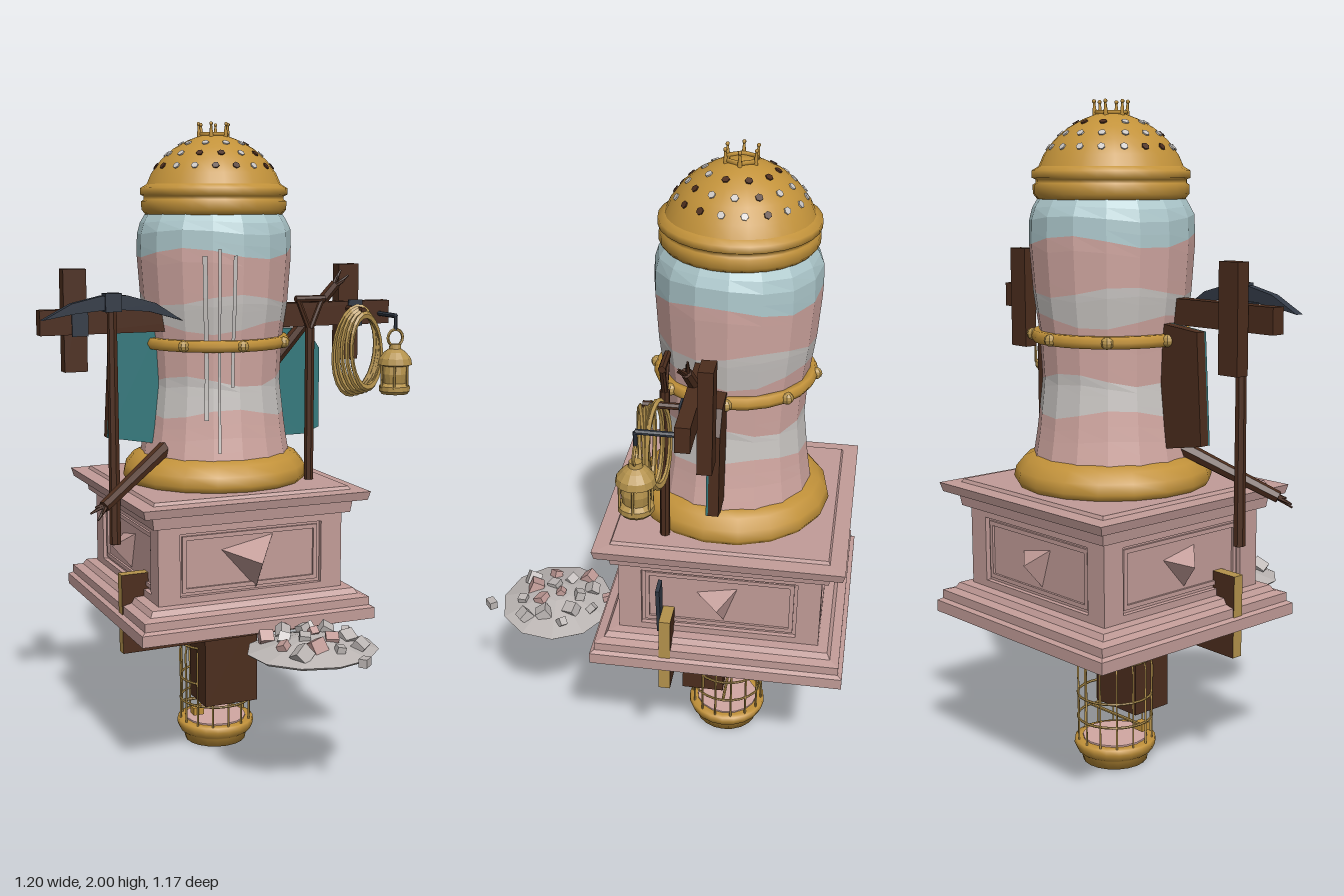
import * as THREE from 'three';

const mat = (name, color, extra = {}) => Object.assign(new THREE.MeshStandardMaterial({ color, flatShading: true, ...extra }), { name });

export function createModel() {
  const model = new THREE.Group();
  const stone = mat('pink stone', 0xc29c98), jarPink = mat('jar pink', 0xd2a8a2), pale = mat('pale stripe', 0xc9c5c2);
  const blue = mat('pale blue', 0xadc8cc), gold = mat('gold', 0xc2923a, { flatShading: false }), brass = mat('brass', 0xb4924c);
  const wood = mat('dark wood', 0x4c2d1d), iron = mat('iron', 0x323a46), teal = mat('teal', 0x34797d), rubble = mat('rubble grey', 0xbcb6b4);

  // Everything turned around the tower axis lives in this group
  const tower = new THREE.Group();
  tower.name = 'tower';
  tower.position.z = -0.2;
  model.add(tower);

  let seed = 7;
  const rnd = () => (seed = (seed * 16807) % 2147483647) / 2147483647;
  const V = (x, y, z) => new THREE.Vector3(x, y, z);
  const add = (name, geo, material, x = 0, y = 0, z = 0, parent = model) => {
    const m = new THREE.Mesh(geo, material);
    m.name = name;
    m.position.set(x, y, z);
    parent.add(m);
    return m;
  };
  const box = (name, material, w, h, d, x, y, z, parent) => add(name, new THREE.BoxGeometry(w, h, d), material, x, y, z, parent);
  const rod = (name, material, a, b, r, r2 = r, parent = model, sides = 7) => {
    const dir = b.clone().sub(a);
    const m = add(name, new THREE.CylinderGeometry(r2, r, dir.length(), sides), material, 0, 0, 0, parent);
    m.position.copy(a).add(b).multiplyScalar(0.5);
    m.quaternion.setFromUnitVectors(V(0, 1, 0), dir.normalize());
    return m;
  };
  const lathe = (name, material, pts, sides, x = 0, z = 0, parent = tower) =>
    add(name, new THREE.LatheGeometry(pts.map(p => new THREE.Vector2(...p)), sides), material, x, 0, z, parent);
  const ring = (name, material, r, tube, y, parent = tower, sides = 24, x = 0, z = 0) => {
    const m = add(name, new THREE.TorusGeometry(r, tube, 6, sides), material, x, y, z, parent);
    m.rotation.x = Math.PI / 2;
    return m;
  };
  const slab = (name, material, pts, depth, z, hole) => {
    const s = new THREE.Shape(pts.map(p => new THREE.Vector2(...p)));
    if (hole) s.holes.push(new THREE.Path(hole.map(p => new THREE.Vector2(...p))));
    return add(name, new THREE.ExtrudeGeometry(s, { depth, bevelEnabled: false }), material, 0, 0, z);
  };
  const rect = (w, y0, y1) => [[-w, y0], [w, y0], [w, y1], [-w, y1]];

  // Square moulded pedestal: half widths become corner radii of a four sided lathe
  const steps = [[0, .47], [.385, .47], [.385, .505], [.372, .512], [.372, .538], [.345, .545], [.335, .562], [.29, .565],
    [.29, .80], [.325, .805], [.33, .84], [.365, .848], [.372, .875], [.325, .877], [.32, .887], [0, .887]];
  lathe('pedestal', stone, steps.map(([r, y]) => [r * Math.SQRT2, y]), 4).rotation.y = Math.PI / 4;
  for (let i = 0; i < 4; i++) {
    const side = new THREE.Group();
    side.name = 'pedestalSide';
    side.rotation.y = i * Math.PI / 2;
    tower.add(side);
    side.add(slab('panelFrame', stone, rect(.305, .56, .805), .015, .29, rect(.235, .585, .78)));
    side.add(slab('panelMoulding', stone, rect(.225, .595, .77), .007, .29, rect(.212, .608, .757)));
    const r = i === 0 ? .1 : .072, depth = [.095, .06, .055, .06][i];
    const stud = add('stoneStud', new THREE.ConeGeometry(r, depth, 3).rotateX(Math.PI / 2), stone, 0, .685, .29 + depth / 2, side);
    stud.rotation.z = .2;
  }

  // Striped jar, each band a strip between wavy edges that follows the jar outline
  const outline = [[.96, .24], [1.05, .225], [1.2, .208], [1.33, .215], [1.45, .232], [1.6, .243], [1.68, .24], [1.73, .21]];
  const radius = y => {
    let k = 0;
    while (k < outline.length - 2 && y > outline[k + 1][0]) k++;
    const [[ya, ra], [yb, rb]] = [outline[k], outline[k + 1]];
    return ra + (rb - ra) * (y - ya) / (yb - ya);
  };
  const strip = (name, material, low, high, a0, a1, cols, rows, lift = 0) => {
    const pos = [], idx = [];
    for (let i = 0; i <= cols; i++) for (let j = 0; j <= rows; j++) {
      const a = a0 + (a1 - a0) * i / cols, y = low(i) + (high(i) - low(i)) * j / rows, r = radius(y) + lift;
      pos.push(r * Math.sin(a), y, r * Math.cos(a));
      if (i < cols && j < rows) {
        const p = i * (rows + 1) + j, q = p + rows + 1;
        idx.push(p, q, p + 1, q + 1, p + 1, q);
      }
    }
    const g = new THREE.BufferGeometry();
    g.setAttribute('position', new THREE.Float32BufferAttribute(pos, 3));
    g.setIndex(idx);
    g.computeVertexNormals();
    add(name, g, material, 0, 0, 0, tower);
  };
  const edges = [.96, 1.115, 1.215, 1.38, 1.465, 1.605, 1.73];
  const edge = k => i => edges[k] + (k % 6 ? .018 * Math.sin((i % 16) * Math.PI * 3 / 8 + k * 2) : 0);
  [jarPink, pale, jarPink, pale, jarPink, blue].forEach((m, k) => strip('jarBand', m, edge(k), edge(k + 1), 0, Math.PI * 2, 16, 4));
  [[-.52, 1.1, 1.6, .06], [-.33, 1.0, 1.62, .04], [-.14, 1.2, 1.6, .05]].forEach(([a, y0, y1, w]) =>
    strip('paintDrip', pale, () => y0, () => y1, a, a + w, 1, 8, .003));

  // Gold foot, studded belt and perforated dome
  lathe('jarFoot', gold, [[.2, .885], [.285, .885], [.297, .905], [.29, .935], [.265, .965], [.235, .978], [.2, .978]], 18);
  ring('jarBelt', gold, .222, .02, 1.327);
  for (let i = 0; i < 8; i++) {
    const a = i * Math.PI / 4;
    add('beltStud', new THREE.SphereGeometry(.018, 8, 6), brass, .236 * Math.sin(a), 1.327, .236 * Math.cos(a), tower);
  }
  lathe('domeRim', gold, [[.18, 1.72], [.215, 1.72], [.227, 1.735], [.227, 1.76], [.219, 1.765], [.219, 1.775], [.23, 1.78], [.23, 1.8], [.21, 1.812]], 28);
  lathe('dome', gold, [[.215, 1.80], [.195, 1.845], [.165, 1.885], [.125, 1.92], [.08, 1.945], [.04, 1.96], [0, 1.965]], 28);
  [[.18, 1.865, .8, .6, 18], [.145, 1.9025, .66, .75, 14], [.1, 1.934, .485, .874, 10]].forEach(([r, y, nr, ny, n], k) => {
    for (let i = 0; i < n; i++) {
      const a = (i + k / 2) * 2 * Math.PI / n, s = Math.sin(a), c = Math.cos(a), p = V(r * s, y, r * c), d = V(nr * s, ny, nr * c);
      rod('domeHole', rnd() < .5 ? wood : pale, p, p.clone().addScaledVector(d, .004), .011, .011, tower, 6);
    }
  });
  ring('crownBand', gold, .045, .007, 1.963, tower, 6);
  for (let i = 0; i < 6; i++) {
    const a = i * Math.PI / 3, x = .047 * Math.cos(a), z = .047 * Math.sin(a);
    rod('crownPoint', gold, V(x, 1.955, z), V(x * 1.05, 1.993, z * 1.05), .007, .003, tower);
    add('crownBead', new THREE.SphereGeometry(.006, 6, 5), gold, x * 1.05, 1.994, z * 1.05, tower);
  }

  // Birdcage underneath
  lathe('cageBase', gold, [[0, 0], [.1, 0], [.105, .025], [.118, .035], [.127, .055], [.125, .07], [.11, .072], [0, .072]], 20);
  add('cageFloor', new THREE.CylinderGeometry(.1, .1, .006, 16), jarPink, 0, .074, 0, tower);
  for (let i = 0; i < 14; i++) {
    const a = i * Math.PI / 7, s = Math.sin(a), c = Math.cos(a);
    const path = [[.115, .07], [.115, .22], [.113, .33], [.085, .38], [.045, .41], [0, .42]].map(([r, y]) => V(r * s, y, r * c));
    add('cageBar', new THREE.TubeGeometry(new THREE.CatmullRomCurve3(path), 14, .0035, 4), brass, 0, 0, 0, tower);
  }
  [.14, .215, .335].forEach(y => ring('cageHoop', brass, .115, .004, y));
  box('cageCup', gold, .035, .025, .03, -.08, .115, .04, tower);
  rod('cagePerch', brass, V(-.11, .14, 0), V(.11, .14, 0), .005, .005, tower);

  // Timber post and wide board crossing the pedestal
  box('lowerPost', wood, .18, .31, .135, 0, .315, -.128);
  add('lowerBoard', new THREE.BoxGeometry(.75, .25, .035), [brass, brass, brass, wood, wood, wood], 0, .515, -.047).rotation.z = .012;
  slab('ironBlade', iron, [[.3, .57], [.335, .58], [.365, .75], [.31, .755]], .012, -.03);
  const patch = add('plasterPatch', new THREE.CylinderGeometry(.1, .075, .03, 9), rubble, .02, .456, -.3);
  patch.scale.z = .85;

  // Upper crossbeam, short uprights and teal-faced board
  box('crossbeam', wood, 1.17, .075, .042, -.005, 1.405, -.13);
  for (const x of [-.468, .455]) {
    box('beamUpright', wood, .072, .31, .042, x, 1.405, -.176);
    box('ironStrap', iron, .05, .085, .006, x, 1.405, -.107);
  }
  const sign = [[-.37, 1.04], [-.2, 1.01], [.3, 1.01], [.355, 1.03], [.355, 1.29], [.31, 1.355], [-.2, 1.375], [-.352, 1.36]];
  slab('signBoard', wood, sign, .03, -.2);
  slab('signFace', teal, sign, .006, -.17);

  // Pickaxe and shovel
  rod('pickHandle', wood, V(-.385, .73, -.055), V(-.385, 1.49, -.055), .018, .015);
  slab('pickHead', iron, [[-.6, 1.418], [-.5, 1.435], [-.385, 1.445], [-.27, 1.435], [-.165, 1.405], [-.25, 1.46], [-.34, 1.485],
    [-.42, 1.485], [-.51, 1.465]], .025, -.068);
  add('pickCollar', new THREE.BoxGeometry(.05, .055, .04), iron, -.385, 1.465, -.055);
  rod('shovelHandle', wood, V(.255, .885, -.03), V(.255, 1.37, -.03), .015);
  for (const s of [-1, 1]) rod('shovelGripArm', wood, V(.255, 1.36, -.03), V(.255 + s * .042, 1.46, -.03), .009);
  rod('shovelGrip', wood, V(.205, 1.46, -.03), V(.305, 1.46, -.03), .011);

  // Broken branches ending in twigs
  const branch = (a, b, r) => {
    rod('branch', wood, a, b, r, r * .75);
    const d = b.clone().sub(a).normalize();
    for (let i = 0; i < 4; i++) {
      const off = V(Math.cos(i * 1.57), Math.sin(i * 1.57), Math.cos(i * 1.57 + 1)).multiplyScalar(.016);
      rod('twig', wood, b.clone().addScaledVector(d, -.02), b.clone().addScaledVector(d, .035).add(off), .009, .003, model, 5);
    }
  };
  branch(V(-.19, 1.01, -.12), V(-.45, .87, .04), .024);
  branch(V(.2, 1.26, -.17), V(.385, 1.5, -.11), .022);

  // Coiled rope
  for (let i = 0; i < 5; i++) {
    const coil = add('ropeCoil', new THREE.TorusGeometry(.066, .007, 5, 22), brass, .43 + (i - 2) * .005, 1.29, -.02 + (i - 2) * .011);
    coil.scale.y = 2.05 - i * .07;
    coil.rotation.set(0, .15 * (i - 2), .05 * (i - 2));
  }
  rod('ropeHook', wood, V(.43, 1.42, -.12), V(.43, 1.42, 0), .01);

  // Hanging lantern
  rod('lanternArm', iron, V(.545, 1.4, -.12), V(.545, 1.4, 0), .008);
  rod('lanternLink', iron, V(.545, 1.4, 0), V(.545, 1.355, 0), .006);
  add('lanternHandle', new THREE.TorusGeometry(.027, .005, 5, 14), brass, .545, 1.33, 0);
  lathe('lantern', brass, [[0, 1.15], [.042, 1.15], [.05, 1.16], [.05, 1.175], [.037, 1.185], [.042, 1.215], [.038, 1.24], [.056, 1.245],
    [.052, 1.265], [.035, 1.285], [.02, 1.295], [.018, 1.31], [0, 1.312]], 14, .545, 0, model);
  for (let i = 0; i < 6; i++) {
    const x = .545 + .047 * Math.cos(i * Math.PI / 3), z = .047 * Math.sin(i * Math.PI / 3);
    rod('lanternBar', brass, V(x, 1.17, z), V(x, 1.25, z), .004, .004, model, 5);
  }

  // Rubble heap with loose blocks
  lathe('rubbleHeap', rubble, [[0, .452], [.19, .452], [.2, .46], [.12, .482], [.05, .5], [0, .503]], 11, .085, .355, model).scale.z = .9;
  for (let i = 0; i < 17; i++) {
    const a = i * 2.4, r = .035 * Math.sqrt(i) + .01, s = .022 + .025 * rnd();
    const b = box('rubbleBlock', i % 3 ? rubble : stone, s, s * .9, s * 1.1, .085 + r * Math.cos(a), .51 - r * .2, .34 + r * Math.sin(a));
    b.rotation.set(rnd(), rnd() * 3, rnd());
  }
  box('strayBlock', rubble, .035, .025, .025, .15, .475, .56).rotation.y = .7;

  return model;
}
